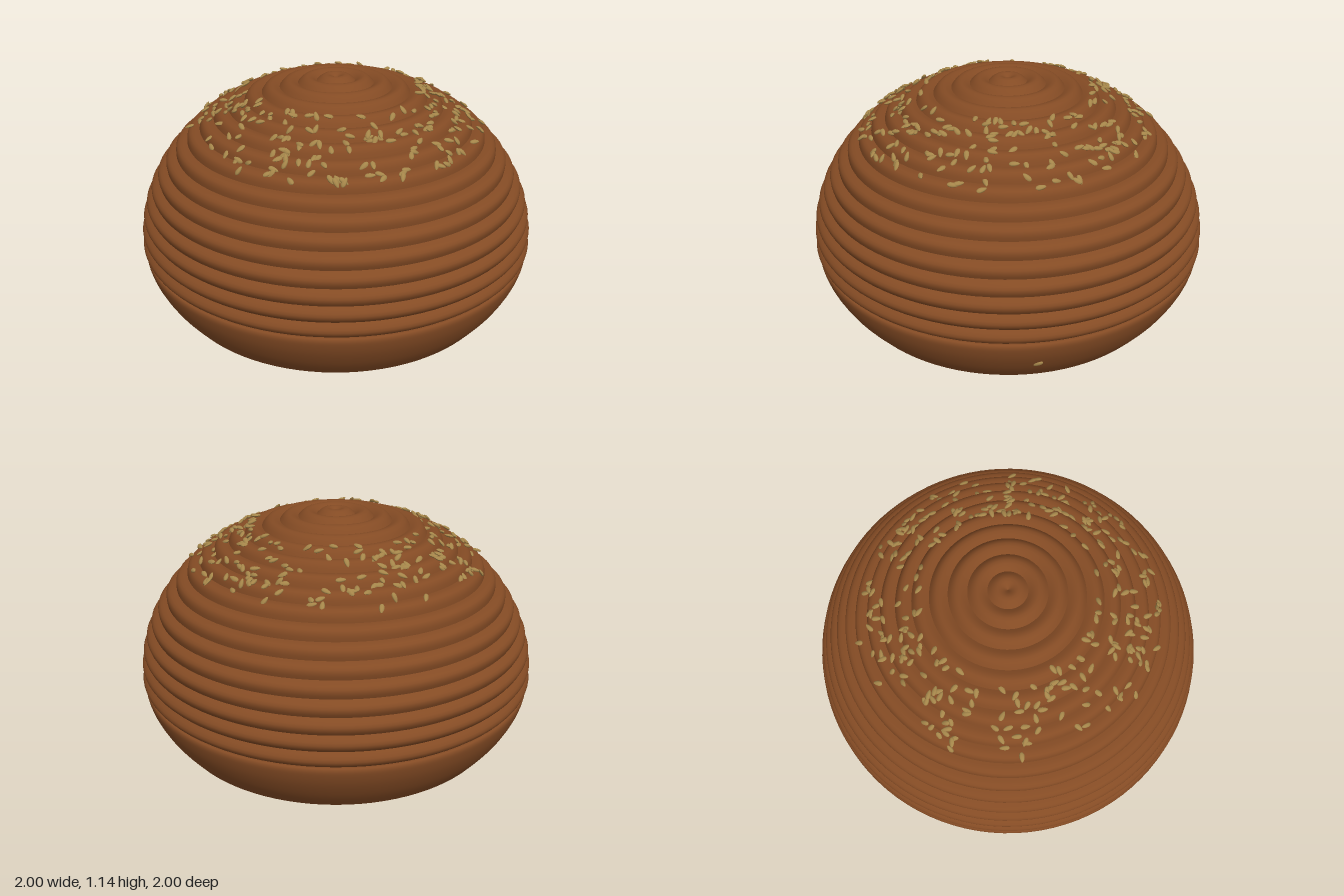
import * as THREE from 'three';
import { mergeGeometries } from 'three/addons/utils/BufferGeometryUtils.js';

const RIBS = 17;
const STEP = THREE.MathUtils.degToRad(5.5);
const A = 0.975, B = 0.787, CENTRE_Y = 0.33, BULGE = 0.025;

// Small seeded random generator
function seeded(seed) {
  return () => {
    seed = (seed * 1664525 + 1013904223) % 4294967296;
    return seed / 4294967296;
  };
}

// Direction pointing out of the dome at angle t from the top
function domeNormal(t) {
  return new THREE.Vector2(Math.sin(t) / A, Math.cos(t) / B).normalize();
}

// Radius and height of the scalloped dome at angle t from the top
function domePoint(t) {
  const bulge = BULGE * Math.abs(Math.sin((Math.PI * t) / STEP));
  const p = new THREE.Vector2(A * Math.sin(t), CENTRE_Y + B * Math.cos(t));
  p.addScaledVector(domeNormal(t), bulge);
  p.x = Math.max(p.x, 0);
  return p;
}

export function createModel() {
  const model = new THREE.Group();
  const crust = new THREE.MeshStandardMaterial({ color: 0x844b24, side: THREE.DoubleSide });
  crust.name = 'brown crust';
  const seedColour = new THREE.MeshStandardMaterial({ color: 0xa5864a });
  seedColour.name = 'golden seed';

  // Ribbed dome: one lathe per rib keeps the grooves sharp
  const ribs = [];
  for (let i = 0; i < RIBS; i++) {
    const profile = [];
    for (let j = 6; j >= 0; j--) profile.push(domePoint((i + j / 6) * STEP));
    ribs.push(new THREE.LatheGeometry(profile, 96));
  }
  const dome = new THREE.Mesh(mergeGeometries(ribs), crust);
  dome.name = 'ribbedDome';
  model.add(dome);

  // Smooth lower wall, open underneath
  const rim = domePoint(RIBS * STEP);
  const wall = new THREE.SplineCurve([
    new THREE.Vector2(0.85, 0),
    new THREE.Vector2(0.918, 0.09),
    new THREE.Vector2(0.966, 0.18),
    new THREE.Vector2(0.988, 0.25),
    new THREE.Vector2(0.986, 0.278),
    rim,
  ]);
  const base = new THREE.Mesh(new THREE.LatheGeometry(wall.getPoints(20), 96), crust);
  base.name = 'lowerWall';
  model.add(base);

  // Seeds: pointed grains lying along the surface
  const grain = new THREE.SphereGeometry(1, 8, 6);
  const pos = grain.attributes.position;
  for (let i = 0; i < pos.count; i++) {
    const taper = 1 - 0.25 * pos.getY(i);
    pos.setXYZ(i, pos.getX(i) * 0.012 * taper, pos.getY(i) * 0.024, pos.getZ(i) * 0.008 * taper);
  }
  grain.computeVertexNormals();

  const random = seeded(7);
  const grains = [];
  const outward = new THREE.Vector3(0, 0, 1);
  function addGrain(position, normal, spin, tilt) {
    const q = new THREE.Quaternion().setFromUnitVectors(outward, normal);
    q.multiply(new THREE.Quaternion().setFromEuler(new THREE.Euler(tilt, 0, spin, 'ZXY')));
    const matrix = new THREE.Matrix4().compose(position, q, new THREE.Vector3(1, 1, 1));
    grains.push(grain.clone().applyMatrix4(matrix));
  }

  // Scattered band around the crown
  for (let i = 0; i < 310; i++) {
    const radius = Math.sqrt(THREE.MathUtils.lerp(0.4 ** 2, 0.715 ** 2, random()));
    const t = Math.asin(radius / A);
    const around = random() * Math.PI * 2;
    const p = domePoint(t), n = domeNormal(t);
    const c = Math.cos(around), s = Math.sin(around);
    const normal = new THREE.Vector3(n.x * c, n.y, n.x * s);
    const position = new THREE.Vector3(p.x * c, p.y, p.x * s).addScaledVector(normal, 0.006);
    addGrain(position, normal, random() * Math.PI * 2, (random() - 0.5) * 0.9);
  }

  // Single stray grain low on the side
  addGrain(
    new THREE.Vector3(0.912, 0.145, -0.27),
    new THREE.Vector3(0.86, -0.44, -0.25).normalize(), 1.5, 0
  );
  const seeds = new THREE.Mesh(mergeGeometries(grains), seedColour);
  seeds.name = 'seeds';
  model.add(seeds);

  return model;
}
